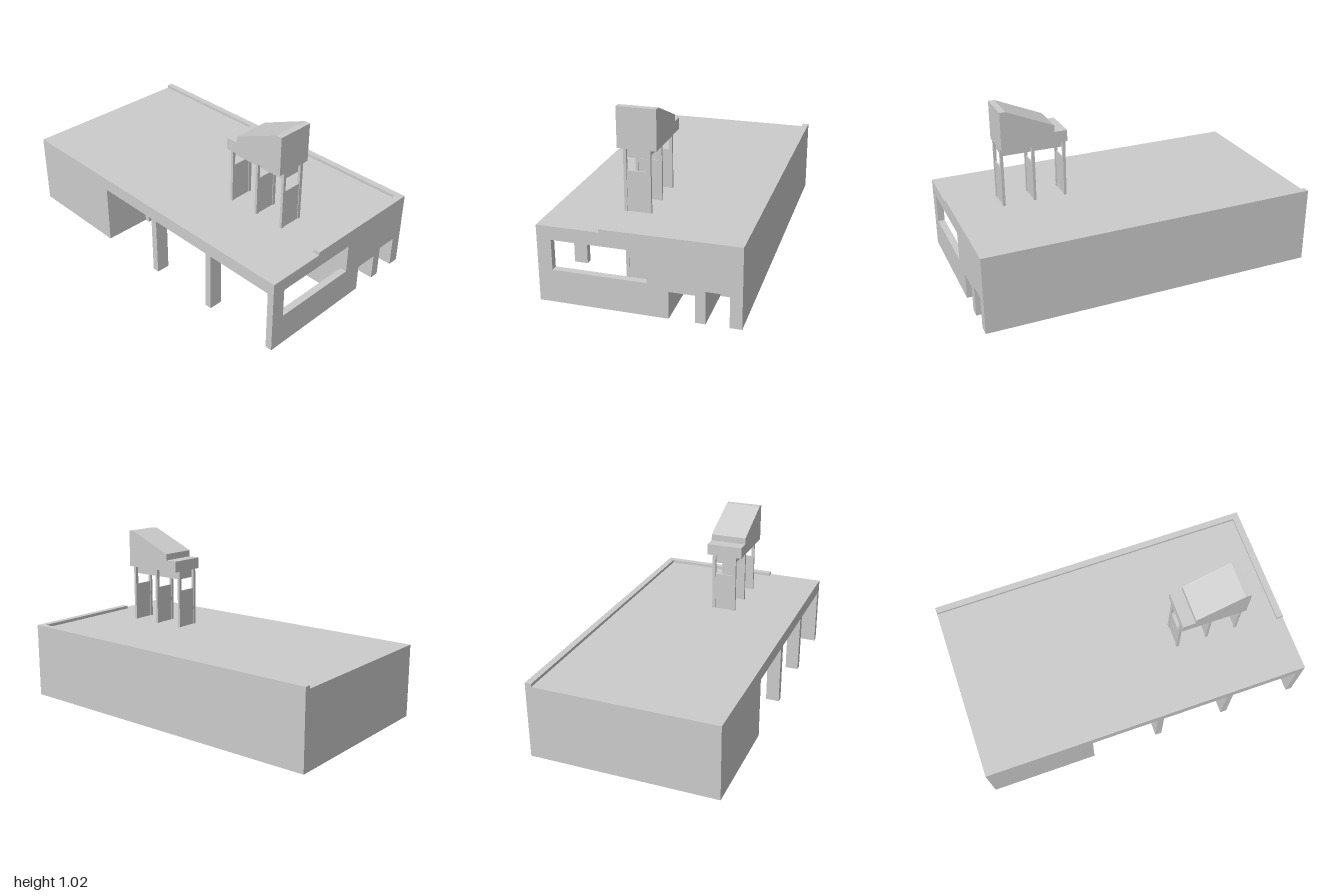
import * as THREE from 'three';

const material = new THREE.MeshStandardMaterial({ color: 0xcccccc });

const shapeOf = (pts) => new THREE.Shape(pts.map(([a, b]) => new THREE.Vector2(a, b)));
const extrude = (shape, depth) => new THREE.ExtrudeGeometry(shape, { depth, bevelEnabled: false });

export function createModel() {
  const model = new THREE.Group();

  const add = (name, geometry, parent = model) => {
    const mesh = new THREE.Mesh(geometry, material);
    mesh.name = name;
    parent.add(mesh);
    return mesh;
  };

  // Box given by its limits on each axis
  const box = (name, [x0, x1], [y0, y1], [z0, z1], parent) => {
    const g = new THREE.BoxGeometry(x1 - x0, y1 - y0, z1 - z0);
    g.translate((x0 + x1) / 2, (y0 + y1) / 2, (z0 + z1) / 2);
    return add(name, g, parent);
  };

  const ceiling = 0.36, roofTop = 0.437, parapetTop = 0.455;
  const nicheBack = 0.7, porchBack = -0.05;

  // Main block, wrapped around the porch recess: plan in (x, z)
  const plan = [
    [-1, 0.55], [-0.35, 0.55], [-0.35, 0.265], [-0.32, 0.265], [-0.32, -0.2],
    [0.53, -0.2], [0.53, porchBack], [nicheBack, porchBack], [nicheBack, -0.55], [-1, -0.55],
  ];
  add('mainBlock', extrude(shapeOf(plan.map(([x, z]) => [x, -z])), ceiling).rotateX(-Math.PI / 2));

  // Right end of the block with two door niches: profile in (-z, y)
  const doors = [
    { z0: -0.305, z1: -0.165, height: 0.155 },
    { z0: -0.485, z1: -0.36, height: 0.185 },
  ];
  const profile = [[-porchBack, ceiling], [-porchBack, 0]];
  for (const { z0, z1, height } of doors) {
    profile.push([-z1, 0], [-z1, height], [-z0, height], [-z0, 0]);
  }
  profile.push([0.55, 0], [0.55, ceiling]);
  add('doorWall', extrude(shapeOf(profile), 1 - nicheBack).rotateY(Math.PI / 2).translate(nicheBack, 0, 0));

  // Underside of the niches
  for (const { z0, z1 } of doors) {
    add('nicheBase', new THREE.PlaneGeometry(1 - nicheBack, z1 - z0).rotateX(Math.PI / 2)
      .translate((1 + nicheBack) / 2, 0, (z0 + z1) / 2));
  }

  // Roof slab and low parapet along the back and right edges
  box('roof', [-1, 1], [ceiling, roofTop], [-0.55, 0.55]);
  box('backParapet', [-1, 1], [roofTop, parapetTop], [-0.55, -0.512]);
  box('sideParapet', [0.96, 1], [roofTop, parapetTop], [-0.512, 0.205]);

  // Porch columns and the low side wall
  for (const x of [0.06, 0.505, 0.96]) {
    box('porchColumn', [x, x + 0.04], [0, ceiling], [0.47, 0.55]);
  }
  box('lowSideWall', [0.96, 1], [0, 0.188], [porchBack, 0.47]);

  // Tower: three frames that run through the roof down to the ground
  const tower = new THREE.Group();
  tower.name = 'tower';
  model.add(tower);
  const headBase = 0.79;
  for (const x of [0.315, 0.503, 0.69]) {
    const frame = new THREE.Group();
    frame.name = 'towerFrame';
    tower.add(frame);
    for (const [y0, y1, panelTop] of [[0, ceiling, ceiling], [roofTop, headBase, 0.668]]) {
      box('towerLeg', [x, x + 0.016], [y0, y1], [0.154, 0.171], frame);
      box('towerLeg', [x, x + 0.016], [y0, y1], [0.02, 0.04], frame);
      box('towerPanel', [x + 0.004, x + 0.012], [y0, panelTop], [0.04, 0.154], frame);
    }
  }
  box('towerBeam', [0.331, 0.69], [0.738, headBase], [0.04, 0.154], tower);

  // Tower head with a step and a sloping top
  const head = [
    [0.315, headBase], [0.706, headBase], [0.706, 1.018], [0.67, 1.018],
    [0.39, 0.897], [0.39, 0.858], [0.315, 0.858],
  ];
  add('towerHead', extrude(shapeOf(head), 0.22).translate(0, 0, -0.015), tower);

  return model;
}
